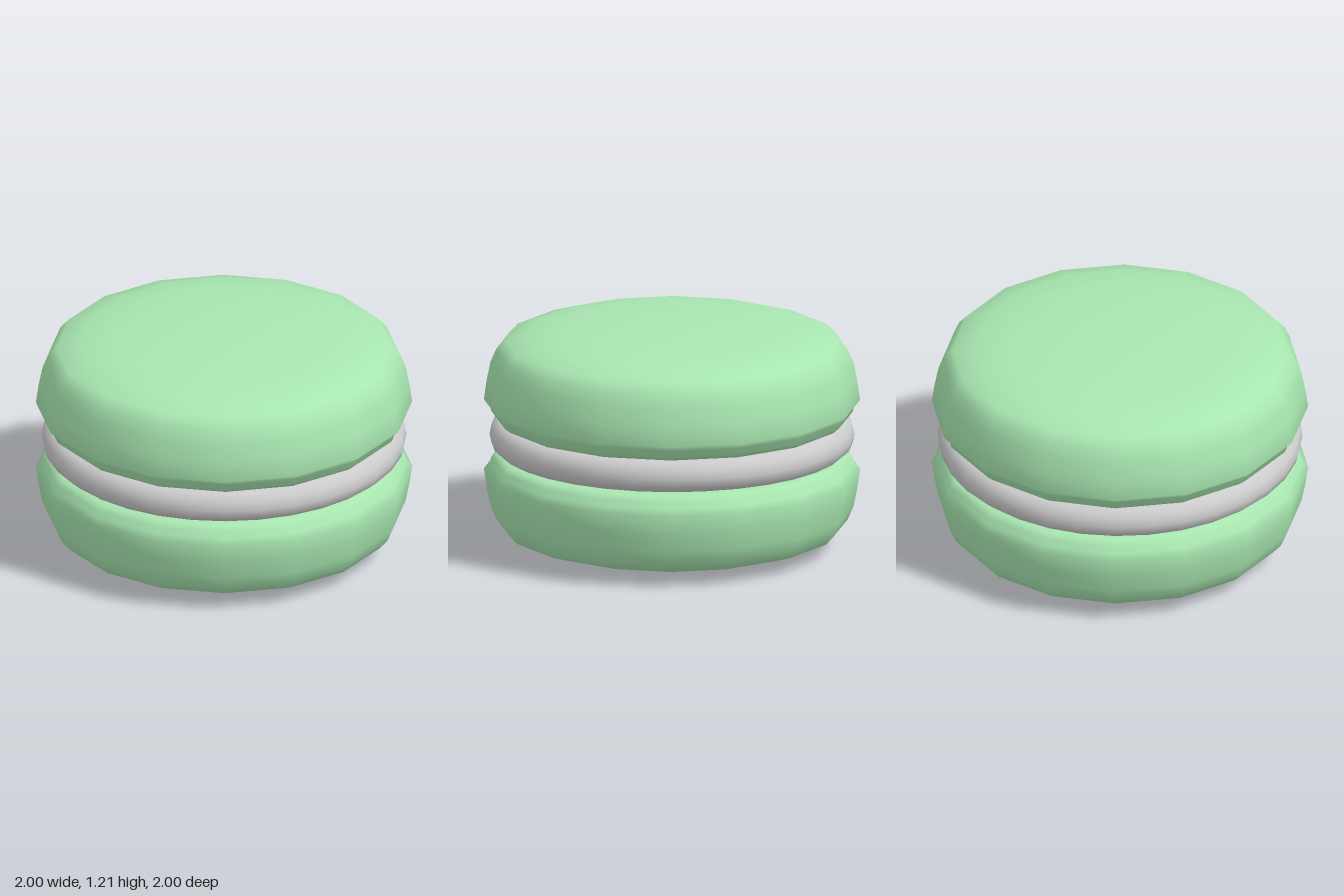
import * as THREE from 'three';

const MID = 0.605; // height of the mirror plane through the filling

// Smooth solid of revolution from [radius, y] points listed bottom to top
function turned(name, profile, sides, material) {
  const points = profile.map(([r, y]) => new THREE.Vector2(r, y));
  const mesh = new THREE.Mesh(new THREE.LatheGeometry(points, sides), material);
  mesh.name = name;
  return mesh;
}

export function createModel() {
  const group = new THREE.Group();
  group.name = 'macaron';
  const green = new THREE.MeshStandardMaterial({ color: 0xa8e6b0 });
  const grey = new THREE.MeshStandardMaterial({ color: 0xcccccc });

  // Domed shell with a stepped foot at the lower rim
  const shell = [
    [0, 0.7], [0.88, 0.7], [0.93, 0.705], [0.96, 0.73], [0.97, 0.765],
    [1, 0.795], [0.985, 0.9], [0.965, 1], [0.935, 1.07], [0.89, 1.12],
    [0.77, 1.16], [0.6, 1.19], [0.25, 1.21], [0, 1.21],
  ];
  const flipped = shell.map(([r, y]) => [r, 2 * MID - y]).reverse();
  group.add(turned('topShell', shell, 16, green));
  group.add(turned('bottomShell', flipped, 16, green));

  // Rounded cream disc between the shells
  const filling = [
    [0, 0.515], [0.87, 0.515], [0.925, 0.53], [0.96, 0.56], [0.97, 0.605],
    [0.96, 0.655], [0.925, 0.69], [0.87, 0.7], [0, 0.7],
  ];
  group.add(turned('filling', filling, 32, grey));

  return group;
}
